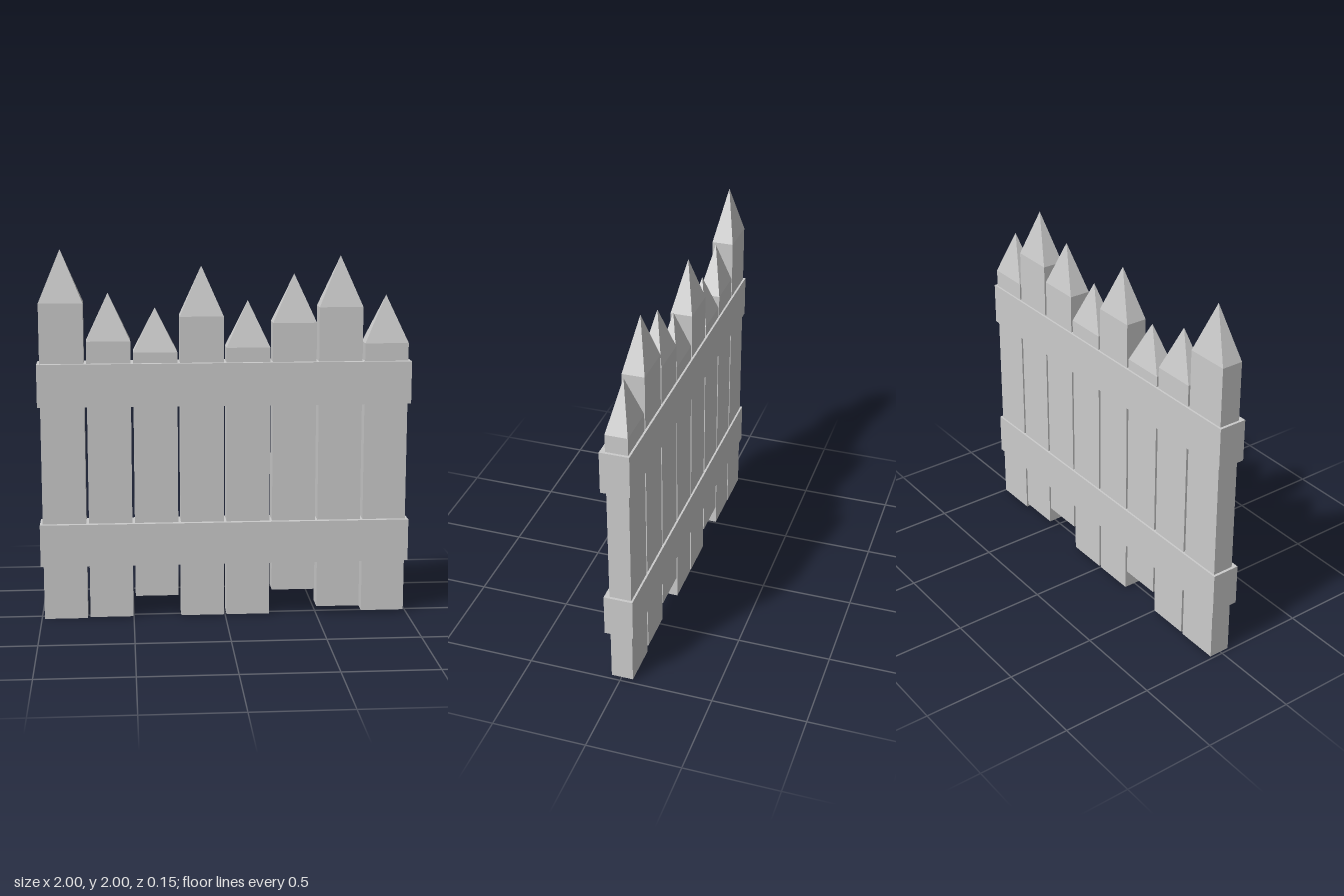
import * as THREE from 'three';
import { ConvexGeometry } from 'three/addons/geometries/ConvexGeometry.js';

const material = new THREE.MeshStandardMaterial({ color: 0xcccccc, flatShading: true });

// Fence board: a box from bottom to shoulder, closed by a four-sided point
function picketGeometry(width, depth, bottom, shoulder, tip) {
  const points = [new THREE.Vector3(0, tip, 0)];
  for (const y of [bottom, shoulder])
    for (const sx of [-0.5, 0.5])
      for (const sz of [-0.5, 0.5])
        points.push(new THREE.Vector3(sx * width, y, sz * depth));
  return new ConvexGeometry(points);
}

export function createModel() {
  const fence = new THREE.Group();
  fence.name = 'picketFence';

  // Pickets from the model's right to its left: [bottom, shoulder, tip]
  const pickets = [
    [0, 1.72, 2.0], [0.005, 1.517, 1.77], [0.12, 1.457, 1.69], [0.005, 1.645, 1.91],
    [0.005, 1.478, 1.725], [0.14, 1.608, 1.865], [0.04, 1.69, 1.96], [0.012, 1.495, 1.75],
  ];
  pickets.forEach(([bottom, shoulder, tip], i) => {
    const picket = new THREE.Mesh(picketGeometry(0.234, 0.117, bottom, shoulder, tip), material);
    picket.name = `picket${i + 1}`;
    picket.position.set((i - 3.5) * 0.248, 0, -0.008);
    fence.add(picket);
  });

  // Two rails wrapping all the pickets
  for (const [name, y] of [['lowerRail', 0.415], ['upperRail', 1.285]]) {
    const rail = new THREE.Mesh(new THREE.BoxGeometry(2, 0.23, 0.154), material);
    rail.name = name;
    rail.position.y = y;
    fence.add(rail);
  }
  return fence;
}
